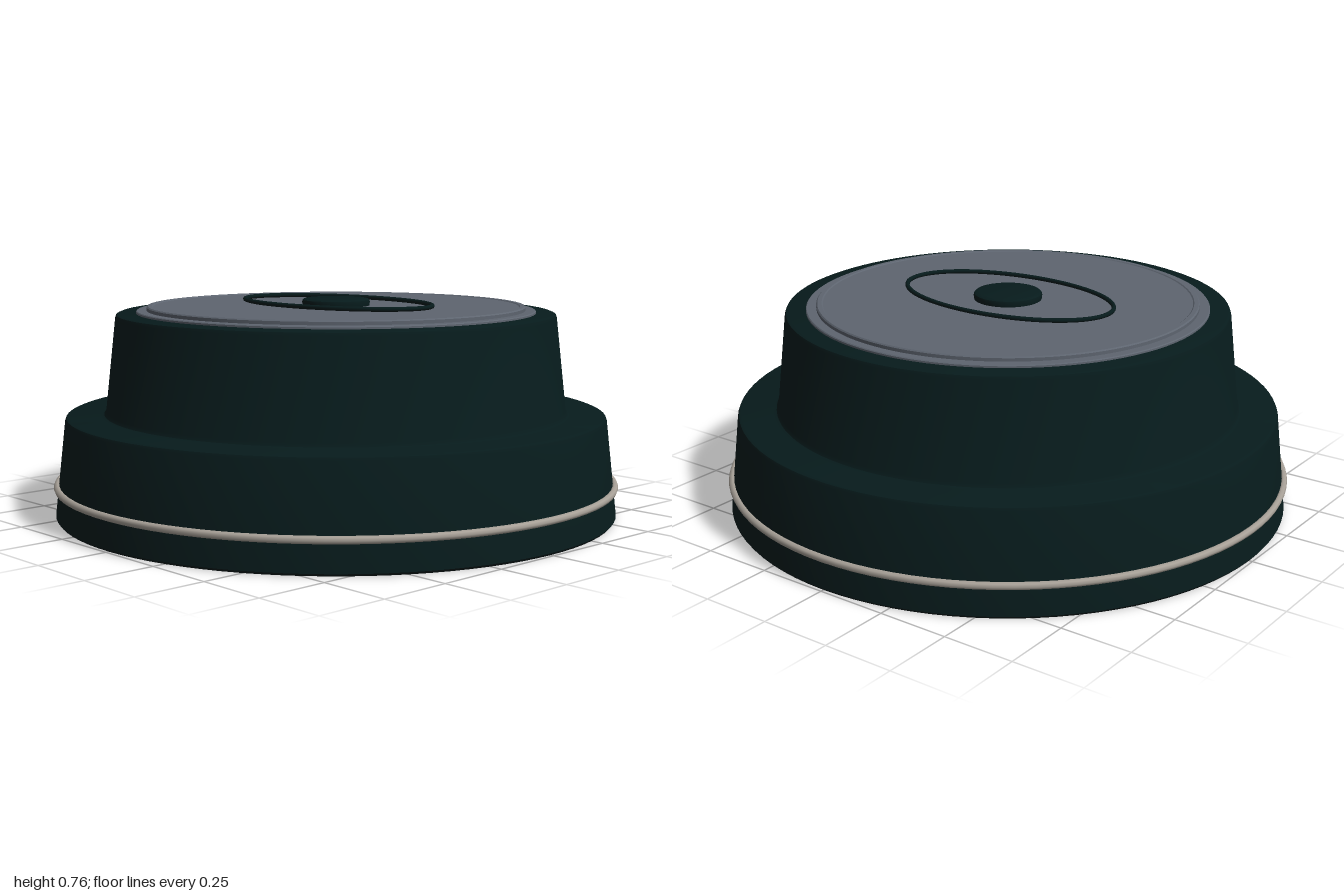
import * as THREE from 'three';
import { toCreasedNormals } from 'three/addons/utils/BufferGeometryUtils.js';

const SEGMENTS = 96;

function makeMaterial(name, color) {
  const material = new THREE.MeshStandardMaterial({ color });
  material.name = name;
  return material;
}

// Revolves a [radius, height] profile, keeping its hard edges sharp
function revolve(profile) {
  const points = profile.map(([r, y]) => new THREE.Vector2(r, y));
  return toCreasedNormals(new THREE.LatheGeometry(points, SEGMENTS), 0.6);
}

// Closed horizontal ellipse used as a sweep path
class EllipsePath extends THREE.Curve {
  constructor(rx, rz) {
    super();
    this.rx = rx;
    this.rz = rz;
  }
  getPoint(t, target = new THREE.Vector3()) {
    const a = t * Math.PI * 2;
    return target.set(this.rx * Math.cos(a), 0, this.rz * Math.sin(a));
  }
}

export function createModel() {
  const model = new THREE.Group();
  model.name = 'steppedRoundCap';

  const green = makeMaterial('dark green', 0x071b1c);
  const grey = makeMaterial('slate grey', 0x5e6570);
  const silver = makeMaterial('warm silver', 0xa8a198);

  function add(name, geometry, material, y = 0) {
    const mesh = new THREE.Mesh(geometry, material);
    mesh.name = name;
    mesh.position.y = y;
    model.add(mesh);
  }

  // Hollow stepped body: ceiling, inner wall, foot, skirt, shoulder, crown
  add('body', revolve([
    [0, 0.395], [0.78, 0.395], [0.8, 0],
    [0.988, 0], [0.994, 0.008],
    [0.955, 0.343], [0.951, 0.352], [0.942, 0.356],
    [0.83, 0.356], [0.82, 0.36], [0.813, 0.372],
    [0.776, 0.697], [0.772, 0.707], [0.762, 0.711], [0, 0.711],
  ]), green);

  // Trim ring around the skirt
  const trim = new THREE.TorusGeometry(0.987, 0.013, 8, SEGMENTS);
  trim.rotateX(Math.PI / 2);
  add('trimRing', trim, silver, 0.11);

  // Top plate and the raised plate with its fine lip
  add('lowerTopPlate', revolve([
    [0.703, 0.705], [0.703, 0.717], [0.7, 0.72], [0, 0.72],
  ]), grey);
  add('upperTopPlate', revolve([
    [0.667, 0.715], [0.667, 0.731], [0.663, 0.735],
    [0.648, 0.735], [0.644, 0.732], [0, 0.732],
  ]), grey);

  // Raised oval outline
  add('ovalOutline',
    new THREE.TubeGeometry(new EllipsePath(0.411, 0.239), 120, 0.008, 8, true),
    green, 0.744);

  // Central button with a softly rounded edge
  add('centreButton', revolve([
    [0.118, 0.73], [0.12, 0.745], [0.118, 0.752],
    [0.113, 0.756], [0.104, 0.758], [0, 0.759],
  ]), green);

  return model;
}
